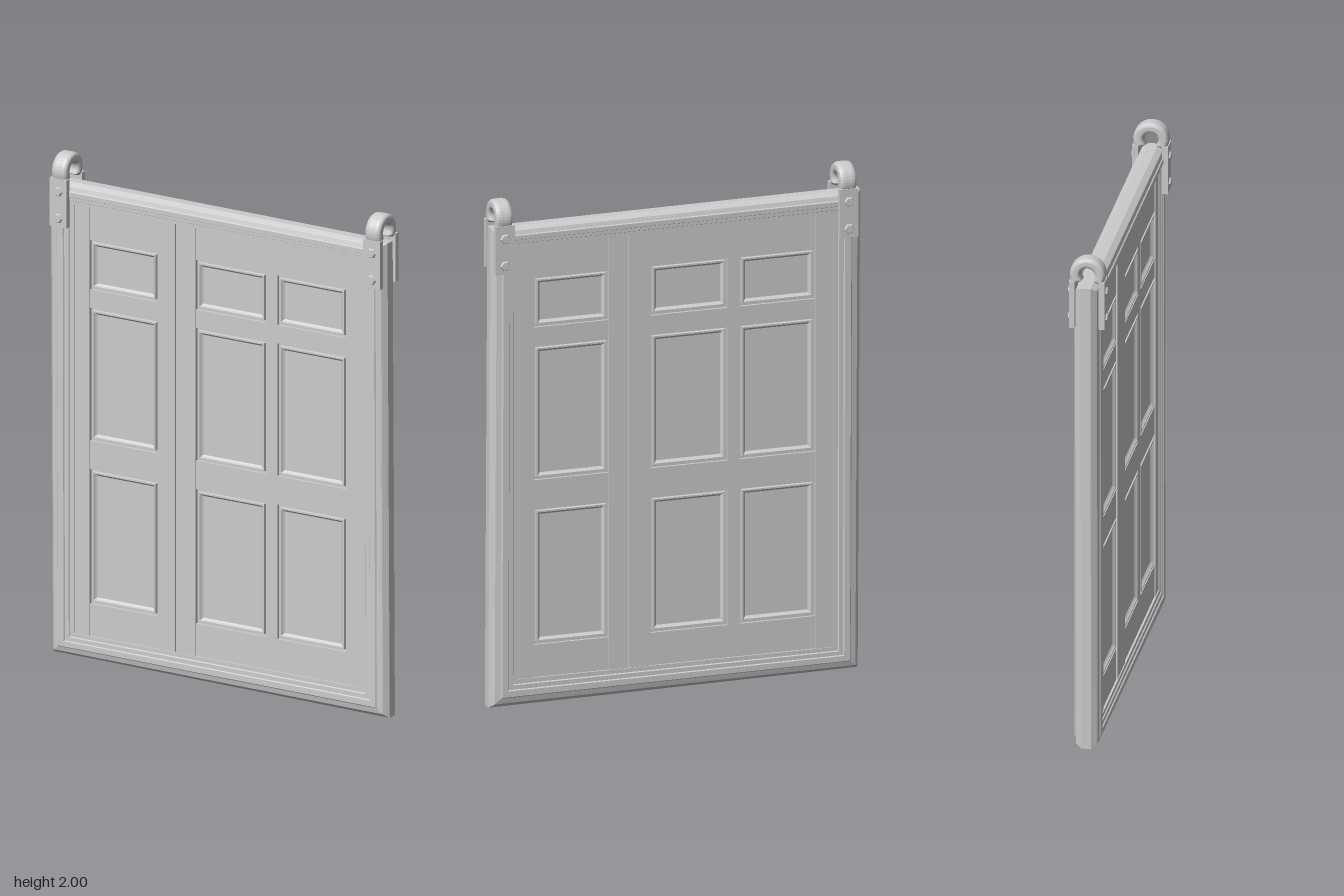
import * as THREE from 'three';

const material = new THREE.MeshStandardMaterial({ color: 0xcccccc, flatShading: true, side: THREE.DoubleSide });

function add(parent, name, geometry, x = 0, y = 0, z = 0) {
  const mesh = new THREE.Mesh(geometry, material);
  mesh.name = name;
  mesh.position.set(x, y, z);
  parent.add(mesh);
  return mesh;
}

// Box given by its x, y and z limits
function block(parent, name, x0, x1, y0, y1, z0, z1) {
  return add(parent, name, new THREE.BoxGeometry(x1 - x0, y1 - y0, z1 - z0),
    (x0 + x1) / 2, (y0 + y1) / 2, (z0 + z1) / 2);
}

const rect = (x0, x1, y0, y1) => [[x0, y0], [x1, y0], [x1, y1], [x0, y1]];

// Mitred moulding: profile points are [t, z], with t going from outer (0) to inner (1) outline
function moulding(outer, inner, profile) {
  const positions = [];
  const point = (k, i) => {
    const [t, z] = profile[i], a = outer[k % 4], b = inner[k % 4];
    return [a[0] + (b[0] - a[0]) * t, a[1] + (b[1] - a[1]) * t, z];
  };
  for (let k = 0; k < 4; k++) {
    for (let i = 0; i < profile.length - 1; i++) {
      const a = point(k, i), b = point(k + 1, i), c = point(k + 1, i + 1), d = point(k, i + 1);
      positions.push(...a, ...b, ...c, ...a, ...c, ...d);
    }
  }
  const geometry = new THREE.BufferGeometry();
  geometry.setAttribute('position', new THREE.Float32BufferAttribute(positions, 3));
  geometry.computeVertexNormals();
  return geometry;
}

// One face of the two door leaves: stiles, rails and moulded panels
function createFace() {
  const face = new THREE.Group();
  face.name = 'doorFace';
  const bottom = 0.108, top = 1.81, zBoard = 0.022, zStile = 0.037, zRail = 0.033;
  const rails = [[bottom, 0.235], [0.77, 0.882], [1.41, 1.482], [1.68, top]];
  const columns = [[-0.565, -0.265], [-0.1, 0.21], [0.257, 0.56]];

  block(face, 'panelBoard', -0.63, 0.63, bottom, top, 0.01, zBoard);
  for (const [x0, x1] of [[-0.63, -0.565], [-0.266, -0.189], [-0.185, -0.1], [0.56, 0.63]]) {
    block(face, 'stile', x0, x1, bottom, top, 0.01, zStile);
  }
  for (const [y0, y1] of rails) {
    block(face, 'leftRail', -0.565, -0.266, y0, y1, 0.01, zRail);
    block(face, 'rightRail', -0.1, 0.56, y0, y1, 0.01, zRail);
  }
  for (let r = 0; r < 3; r++) {
    const y0 = rails[r][1], y1 = rails[r + 1][0];
    block(face, 'mullion', 0.21, 0.257, y0, y1, 0.01, zRail);
    for (const [x0, x1] of columns) {
      add(face, 'panelMoulding', moulding(
        rect(x0 + 0.009, x1 - 0.009, y0 + 0.009, y1 - 0.009),
        rect(x0 + 0.027, x1 - 0.027, y0 + 0.026, y1 - 0.026),
        [[0, zBoard], [0.1, 0.034], [0.45, 0.034], [0.7, 0.027], [1, zBoard]]));
    }
  }
  return face;
}

// Horseshoe strap over the rail with a riveted plate on each side
function createHanger(x, y) {
  const hanger = new THREE.Group();
  hanger.name = 'hanger';
  hanger.position.set(x, y, 0);

  // Horseshoe drawn in the z-y plane, then turned across the door
  const bevel = 0.013, overhang = 0.45;
  const shape = new THREE.Shape();
  shape.absarc(0, 0, 0.055, -overhang, Math.PI + overhang, false);
  shape.absarc(0, 0, 0.041, Math.PI + overhang, -overhang, true);
  shape.closePath();
  const arch = new THREE.ExtrudeGeometry(shape, {
    depth: 0.03, bevelEnabled: true, bevelSize: bevel, bevelThickness: 0.018,
    bevelSegments: 3, curveSegments: 12,
  });
  arch.translate(0, 0, -0.015);
  arch.rotateY(Math.PI / 2);
  add(hanger, 'strapArch', arch, 0, 1.932, 0);

  for (const side of [-1, 1]) {
    add(hanger, 'plate', new THREE.BoxGeometry(0.075, 0.19, 0.022), 0, 1.815, side * 0.057);
    for (const boltY of [1.754, 1.86]) {
      const bolt = new THREE.CylinderGeometry(0.016, 0.021, 0.008, 6);
      bolt.rotateX(side * Math.PI / 2);
      bolt.rotateZ(Math.PI / 2);
      add(hanger, 'bolt', bolt, 0, boltY, side * 0.071);
    }
  }
  return hanger;
}

export function createModel() {
  const model = new THREE.Group();
  model.name = 'hangingDoor';

  // Outer frame, slightly out of square, with a bevelled edge and two inner steps
  const half = [[0, 0.019], [0.12, 0.036], [0.16, 0.041], [0.36, 0.046], [0.4, 0.051], [0.62, 0.051], [0.65, 0.046], [0.81, 0.046], [0.84, 0.041], [1, 0.041], [1, 0.03]];
  const profile = [...half.map(([t, z]) => [t, -z]).reverse(), ...half];
  add(model, 'frame', moulding(
    [[-0.735, 0.014], [0.742, 0.002], [0.732, 1.884], [-0.745, 1.892]],
    rect(-0.63, 0.63, 0.108, 1.81), profile));

  // The rear face is the front one turned half round
  const front = createFace(), back = createFace();
  back.rotation.y = Math.PI;
  model.add(front, back);

  model.add(createHanger(-0.684, 0), createHanger(0.691, -0.008));
  return model;
}
